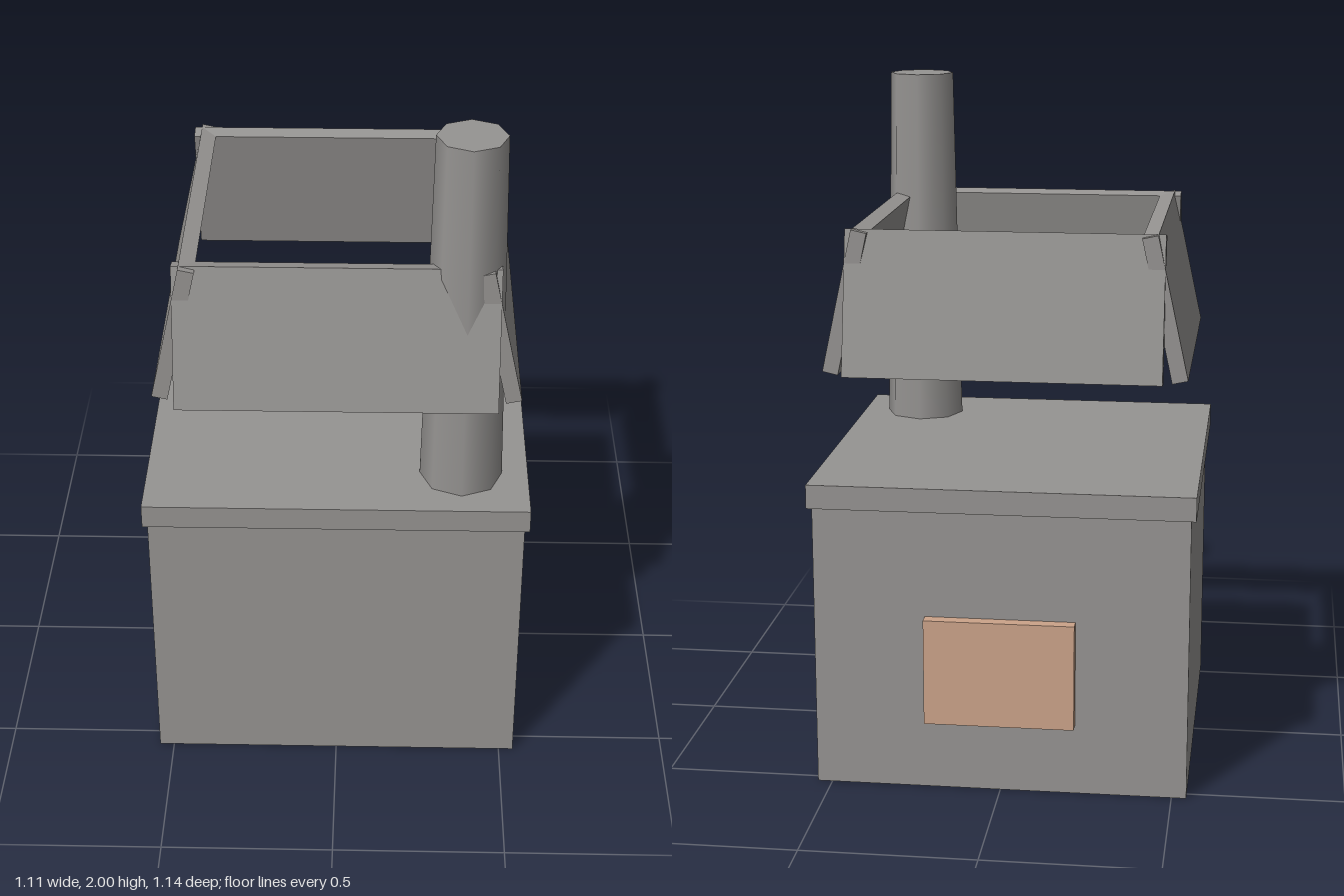
import * as THREE from 'three';

const grey = new THREE.MeshStandardMaterial({ name: 'concreteGrey', color: 0x969492 });
const tan = new THREE.MeshStandardMaterial({ name: 'hatchTan', color: 0xcca48a });

function box(name, size, pos, material = grey) {
  const mesh = new THREE.Mesh(new THREE.BoxGeometry(...size), material);
  mesh.name = name;
  mesh.position.set(...pos);
  return mesh;
}

export function createModel() {
  const model = new THREE.Group();
  model.name = 'model';

  // Base block with overhanging lid and rear hatch
  model.add(
    box('body', [1.086, 0.84, 1.09], [0, 0.42, 0.013]),
    box('lid', [1.114, 0.07, 1.114], [0, 0.875, 0.013]),
    box('hatch', [0.436, 0.315, 0.04], [0, 0.3675, -0.55], tan),
  );

  // Four hood panels, leaning inward at the top
  const hood = new THREE.Group();
  hood.name = 'hood';
  hood.position.set(0, 1.42, 0.012);
  const names = ['frontPanel', 'leftPanel', 'backPanel', 'rightPanel'];
  names.forEach((name, i) => {
    const side = new THREE.Group();
    side.name = name + 'Mount';
    side.rotation.y = (i * Math.PI) / 2;
    const panel = box(name, [0.907, 0.42, 0.046], [0, 0, 0.455]);
    panel.rotation.x = -0.215;
    side.add(panel);
    hood.add(side);
  });
  model.add(hood);

  // Tapered chimney standing on the lid, through the hood corner
  const chimney = new THREE.Mesh(new THREE.CylinderGeometry(0.098, 0.12, 1.09, 8), grey);
  chimney.name = 'chimney';
  chimney.position.set(0.361, 1.455, 0.376);
  model.add(chimney);

  return model;
}
